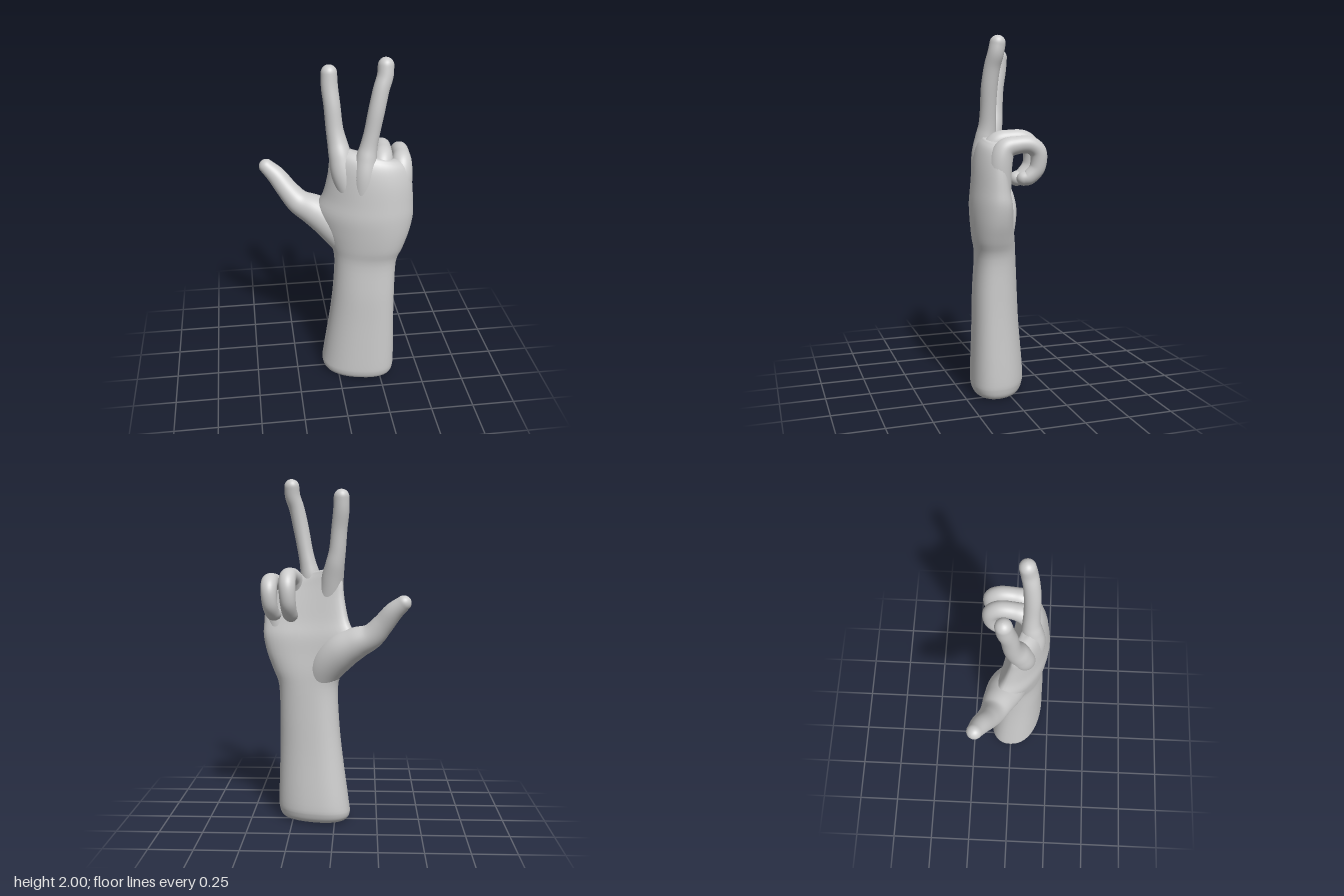
import * as THREE from 'three';

const SIDES = 40;
const skinMaterial = new THREE.MeshStandardMaterial({ color: 0xcccccc, side: THREE.DoubleSide });

// Smoothly resample rows of numbers, with a few steps between each pair
function resample(rows, steps) {
  const size = rows[0].length;
  const spline = new THREE.CubicInterpolant(
    new Float32Array(rows.map((_, i) => i)), new Float32Array(rows.flat()), size, new Float32Array(size));
  const out = [];
  for (let i = 0; i <= (rows.length - 1) * steps; i++) out.push([...spline.evaluate(i / steps)]);
  return out;
}

// Join rings of points into one smooth surface
function skin(name, rings) {
  const positions = rings.flatMap(ring => ring.flatMap(p => p.toArray()));
  const index = [];
  for (let i = 0; i < rings.length - 1; i++) {
    for (let j = 0; j < SIDES; j++) {
      const a = i * SIDES + j, b = i * SIDES + (j + 1) % SIDES;
      index.push(a, a + SIDES, b, b, a + SIDES, b + SIDES);
    }
  }
  const geometry = new THREE.BufferGeometry();
  geometry.setAttribute('position', new THREE.Float32BufferAttribute(positions, 3));
  geometry.setIndex(index);
  geometry.computeVertexNormals();
  const mesh = new THREE.Mesh(geometry, skinMaterial);
  mesh.name = name;
  return mesh;
}

const aroundRing = make => Array.from({ length: SIDES }, (_, j) => make((j / SIDES) * Math.PI * 2));
const squarish = v => Math.sign(v) * Math.abs(v) ** 0.87;

// One level of the arm: shear turns it, bend arches the knuckles, slope lowers the outer side
function armRing([y, x0, x1, z, depth, shear, bend, slope], scale = 1) {
  return aroundRing(angle => {
    const u = squarish(Math.cos(angle)) * scale, v = squarish(Math.sin(angle)) * scale;
    return new THREE.Vector3(
      (x0 + x1) / 2 + u * (x1 - x0) / 2,
      y - slope * u,
      z + v * depth + shear * u - bend * u * u);
  });
}

// A finger follows rows of [x, y, z, radius] and ends in a round tip
function finger(name, rows) {
  const path = resample(rows, 7);
  const centers = path.map(p => new THREE.Vector3(p[0], p[1], p[2]));
  const ringAt = (center, tangent, radius) => {
    const n = new THREE.Vector3(1, 0, 0).addScaledVector(tangent, -tangent.x).normalize();
    const b = new THREE.Vector3().crossVectors(tangent, n);
    return aroundRing(angle => center.clone()
      .addScaledVector(n, Math.cos(angle) * radius)
      .addScaledVector(b, -Math.sin(angle) * radius));
  };
  let tangent;
  const last = centers.length - 1;
  const rings = centers.map((c, i) => {
    tangent = centers[Math.min(i + 1, last)].clone().sub(centers[Math.max(i - 1, 0)]).normalize();
    return ringAt(c, tangent, path[i][3]);
  });
  const r = path[last][3];
  for (let i = 1; i <= 8; i++) {
    const a = (i / 8) * Math.PI / 2;
    rings.push(ringAt(centers[last].clone().addScaledVector(tangent, r * Math.sin(a)), tangent, r * Math.cos(a)));
  }
  return skin(name, rings);
}

export function createModel() {
  const hand = new THREE.Group();
  hand.name = 'hand';

  // Forearm, wrist and palm: [y, x0, x1, z, depth, shear, bend, slope]
  const levels = resample([
    [0.00, -0.05, 0.30, 0.040, 0.110, 0.035, 0, 0],
    [0.015, -0.075, 0.323, 0.040, 0.135, 0.038, 0, 0],
    [0.05, -0.09, 0.336, 0.038, 0.152, 0.042, 0, 0],
    [0.12, -0.083, 0.34, 0.038, 0.155, 0.042, 0, 0],
    [0.40, -0.045, 0.332, 0.050, 0.138, 0.038, 0, 0],
    [0.60, -0.025, 0.33, 0.056, 0.130, 0.034, 0, 0],
    [0.80, -0.018, 0.335, 0.057, 0.119, 0.033, 0, 0],
    [0.90, -0.045, 0.37, 0.069, 0.123, 0.045, 0.018, 0],
    [1.00, -0.09, 0.405, 0.080, 0.121, 0.058, 0.045, 0],
    [1.10, -0.12, 0.424, 0.088, 0.116, 0.065, 0.065, 0],
    [1.19, -0.08, 0.42, 0.100, 0.100, 0.052, 0.060, 0.01],
    [1.30, -0.055, 0.413, 0.108, 0.083, 0.042, 0.055, 0.025],
    [1.38, -0.045, 0.402, 0.109, 0.067, 0.038, 0.052, 0.035],
    [1.43, -0.020, 0.378, 0.105, 0.052, 0.036, 0.045, 0.035],
    [1.46, 0.035, 0.335, 0.100, 0.032, 0.032, 0.035, 0.032],
  ], 4);
  const top = levels[levels.length - 1];
  hand.add(skin('forearmAndPalm', [
    armRing(levels[0], 0), armRing(levels[0], 0.9),
    ...levels.map(level => armRing(level)),
    armRing(top, 0.6), armRing(top, 0),
  ]));

  // Two raised fingers
  hand.add(finger('indexFinger', [
    [0.070, 1.20, 0.080, 0.055],
    [0.030, 1.34, 0.062, 0.067],
    [0.014, 1.44, 0.040, 0.064],
    [-0.001, 1.52, 0.016, 0.055],
    [-0.015, 1.60, 0.003, 0.048],
    [-0.026, 1.72, -0.008, 0.046],
    [-0.037, 1.82, -0.026, 0.046],
    [-0.039, 1.896, -0.035, 0.044],
  ]));
  hand.add(finger('middleFinger', [
    [0.130, 1.16, 0.115, 0.060],
    [0.138, 1.34, 0.116, 0.066],
    [0.148, 1.45, 0.105, 0.058],
    [0.161, 1.52, 0.100, 0.048],
    [0.177, 1.60, 0.100, 0.044],
    [0.199, 1.72, 0.100, 0.045],
    [0.222, 1.83, 0.091, 0.044],
    [0.244, 1.90, 0.078, 0.044],
    [0.249, 1.956, 0.068, 0.043],
  ]));

  // Two fingers curled towards the palm
  hand.add(finger('ringFinger', [
    [0.205, 1.16, 0.132, 0.060],
    [0.225, 1.34, 0.118, 0.062],
    [0.245, 1.428, 0.070, 0.057],
    [0.258, 1.45, 0.000, 0.049],
    [0.264, 1.447, -0.075, 0.048],
    [0.264, 1.40, -0.120, 0.048],
    [0.260, 1.31, -0.118, 0.045],
    [0.255, 1.25, -0.075, 0.043],
    [0.250, 1.232, -0.040, 0.041],
  ]));
  hand.add(finger('littleFinger', [
    [0.328, 1.10, 0.090, 0.068],
    [0.346, 1.30, 0.088, 0.066],
    [0.354, 1.395, 0.062, 0.058],
    [0.363, 1.42, 0.000, 0.048],
    [0.367, 1.42, -0.075, 0.047],
    [0.367, 1.38, -0.122, 0.046],
    [0.362, 1.30, -0.120, 0.043],
    [0.352, 1.25, -0.080, 0.041],
    [0.342, 1.24, -0.050, 0.039],
  ]));

  // Thumb, flaring into the ball at its base
  hand.add(finger('thumb', [
    [0.110, 0.78, 0.040, 0.075],
    [0.050, 0.92, 0.008, 0.102],
    [-0.035, 1.018, -0.028, 0.107],
    [-0.125, 1.075, -0.062, 0.092],
    [-0.210, 1.118, -0.092, 0.073],
    [-0.275, 1.190, -0.120, 0.061],
    [-0.330, 1.262, -0.150, 0.054],
    [-0.387, 1.315, -0.177, 0.043],
  ]));

  return hand;
}
